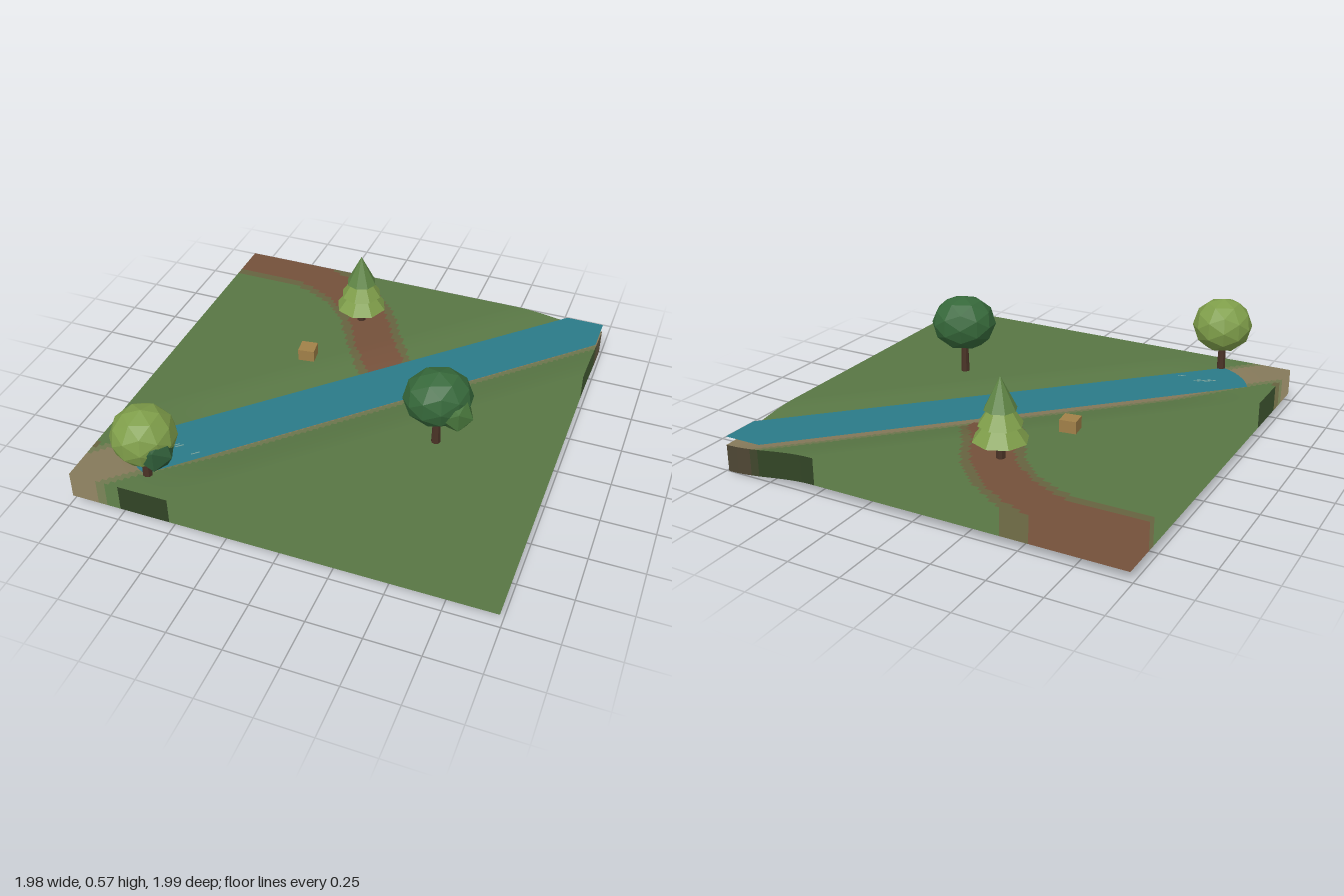
import * as THREE from 'three';

const TOP = 0.175, SKIRT = 0.13, HALF = 0.9875, CENTRE_Z = -0.0125;
const { smoothstep, clamp } = THREE.MathUtils;

function add(parent, name, geometry, color, x = 0, y = 0, z = 0, style = { flatShading: true }) {
  const mesh = new THREE.Mesh(geometry, new THREE.MeshStandardMaterial({ color, ...style }));
  mesh.name = name;
  mesh.position.set(x, y, z);
  parent.add(mesh);
  return mesh;
}

// Distance from the middle line of the river, which crosses the land corner to corner
function riverDistance(x, z) {
  return Math.abs(x + z - CENTRE_Z) / Math.SQRT2;
}

// Flat land with a river trough that fades out towards the front corner
function landHeight(x, z) {
  const along = (x - z + CENTRE_Z) / 2;
  return TOP - 0.045 * (1 - smoothstep(riverDistance(x, z), 0, 0.33)) * smoothstep(along, -0.86, -0.45);
}

const pathPoints = new THREE.SplineCurve([[-1.05, -0.93], [-0.65, -0.92], [-0.4, -0.83], [-0.2, -0.66],
  [-0.08, -0.46], [0.03, -0.3]].map(([x, z]) => new THREE.Vector2(x, z))).getSpacedPoints(40);

// Surface type of the land at a point, with a soft edge around path and sand
function landType(x, z) {
  const path = Math.min(...pathPoints.map((p) => Math.hypot(p.x - x, p.y - z)));
  const sand = riverDistance(x, z);
  if (sand < 0.095) return 'riverSand';
  if (path < 0.1) return 'dirtPath';
  if (sand < 0.125) return 'sandEdge';
  if (path < 0.14 || Math.hypot(x + HALF, z - 0.8) < 0.06) return 'pathEdge';
  return 'grass';
}

// Land: a sheet with a skirt around it, open underneath; the outer ring of the grid is the skirt
function buildLand() {
  const land = new THREE.Group();
  land.name = 'land';
  const n = 90;
  const sheet = new THREE.PlaneGeometry(2, 2, n + 2, n + 2).rotateX(-Math.PI / 2);
  const p = sheet.attributes.position, normals = sheet.attributes.normal;
  const v = new THREE.Vector3(), e = 0.01;
  for (let i = 0; i < p.count; i++) {
    const a = i % (n + 3), b = Math.floor(i / (n + 3));
    const x = (clamp(a - 1, 0, n) / n * 2 - 1) * HALF;
    const z = (clamp(b - 1, 0, n) / n * 2 - 1) * HALF + CENTRE_Z;
    const rim = a === 0 || b === 0 || a === n + 2 || b === n + 2;
    p.setXYZ(i, x, landHeight(x, z) - (rim ? SKIRT : 0), z);
    v.set(landHeight(x - e, z) - landHeight(x + e, z), 2 * e, landHeight(x, z - e) - landHeight(x, z + e)).normalize();
    normals.setXYZ(i, v.x, v.y, v.z);
  }

  // Sort the cells by surface type
  const colors = { grass: 0x587644, riverSand: 0x85795a, sandEdge: 0x6f784f, dirtPath: 0x74503a, pathEdge: 0x66633f };
  const faces = Object.fromEntries(Object.keys(colors).map((type) => [type, []]));
  const index = sheet.index.array;
  for (let i = 0; i < index.length; i += 6) {
    const cell = [...index.slice(i, i + 6)];
    const x = cell.reduce((sum, k) => sum + p.getX(k), 0) / 6;
    const z = cell.reduce((sum, k) => sum + p.getZ(k), 0) / 6;
    faces[landType(x, z)].push(...cell);
  }
  for (const [type, list] of Object.entries(faces)) {
    const g = new THREE.BufferGeometry();
    g.setAttribute('position', p);
    g.setAttribute('normal', normals);
    g.setIndex(list);
    add(land, type, g, colors[type], 0, 0, 0, { side: THREE.DoubleSide });
  }
  return land;
}

function trunk(parent) {
  const base = 0.168, height = 0.16;
  add(parent, 'trunk', new THREE.CylinderGeometry(0.017, 0.022, height, 8), 0x4a3226, 0, base + height / 2, 0);
}

// Round tree: a large faceted crown and a smaller clump beside it
function roundTree(name, x, z, crown, clump) {
  const tree = new THREE.Group();
  tree.name = name;
  tree.position.set(x, 0, z);
  trunk(tree);
  for (const [part, c, detail] of [['crown', crown, 1], ['sideClump', clump, 0]]) {
    const leaf = add(tree, part, new THREE.IcosahedronGeometry(1, detail), c.color, ...c.at);
    leaf.scale.set(...c.size);
    leaf.rotation.y = 0.4;
  }
  return tree;
}

export function createModel() {
  const model = new THREE.Group();
  model.name = 'riverLandscape';
  model.add(buildLand());

  // Water: a thin level strip running from corner to corner
  const back = CENTRE_Z - HALF, front = CENTRE_Z + HALF, w = 0.187;
  const outline = [[HALF - w, back], [HALF, back], [HALF, back + w], [w - HALF, front], [-HALF, front], [-HALF, front - w]];
  const water = new THREE.ShapeGeometry(new THREE.Shape(outline.map(([x, z]) => new THREE.Vector2(x, -z))));
  add(model, 'water', water.rotateX(-Math.PI / 2), 0x2a7a88, 0, 0.1715, 0, { side: THREE.DoubleSide });

  // Ripples near the end of the river
  for (const [x, z, length] of [[-0.68, 0.65, 0.06], [-0.65, 0.64, 0.07], [-0.62, 0.63, 0.04], [-0.53, 0.65, 0.04]]) {
    const ripple = add(model, 'ripple', new THREE.BoxGeometry(length, 0.002, 0.004), 0x7fa8a0, x, 0.1725, z);
    ripple.rotation.y = 0.75;
  }

  // Round trees
  model.add(roundTree('lightTree', -0.663, 0.85,
    { color: 0x7f9e4a, at: [0.006, 0.402, 0], size: [0.148, 0.137, 0.15] },
    { color: 0x2f5c38, at: [0.08, 0.367, 0.045], size: [0.092, 0.092, 0.092] }));
  model.add(roundTree('darkTree', 0.46, 0.19,
    { color: 0x36683a, at: [0, 0.432, -0.003], size: [0.16, 0.138, 0.14] },
    { color: 0x46733a, at: [0.1, 0.39, 0.035], size: [0.08, 0.085, 0.08] }));

  // Pine tree with three stacked tiers
  const pine = new THREE.Group();
  pine.name = 'pineTree';
  pine.position.set(-0.2, 0, -0.605);
  trunk(pine);
  const tiers = [[0.06, 0.127, 0.262, 0.085, 0x7f9e4a], [0.045, 0.102, 0.333, 0.085, 0x7f9e4a], [0, 0.075, 0.403, 0.15, 0x5f8545]];
  for (const [rTop, rBottom, y, h, color] of tiers) {
    add(pine, 'pineTier', new THREE.CylinderGeometry(rTop, rBottom, h, 8), color, 0, y + h / 2, 0);
  }
  model.add(pine);

  // Crate
  const crate = add(model, 'crate', new THREE.BoxGeometry(0.08, 0.062, 0.08), 0xa08048, -0.334, 0.203, -0.207);
  crate.rotation.y = 0.13;

  return model;
}
